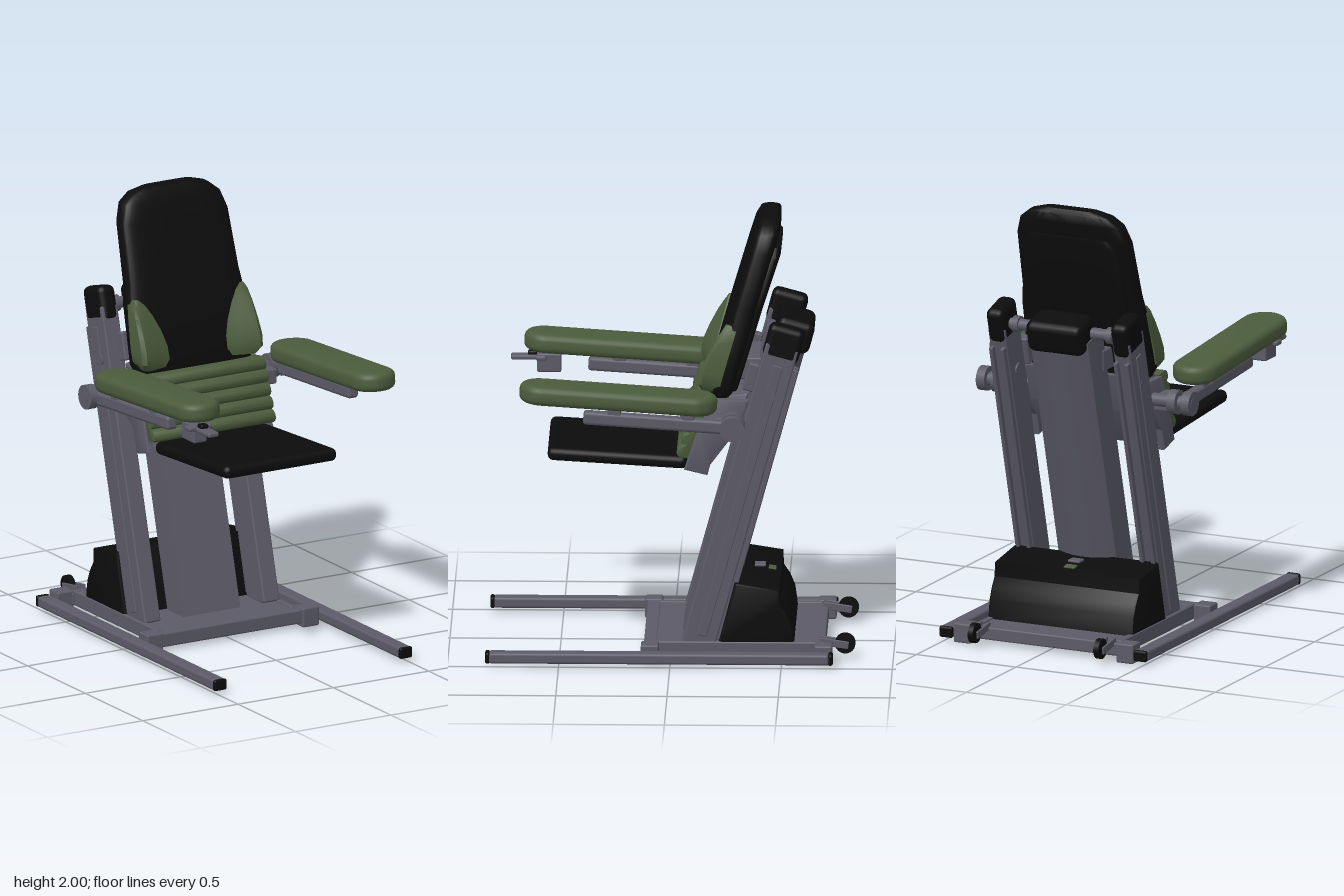
import * as THREE from 'three';
import { toCreasedNormals } from 'three/addons/utils/BufferGeometryUtils.js';
import { RoundedBoxGeometry } from 'three/addons/geometries/RoundedBoxGeometry.js';

const steel = new THREE.MeshStandardMaterial({ color: 0x5b5a67 });
steel.name = 'steelGrey';
const black = new THREE.MeshStandardMaterial({ color: 0x0c0c0c });
black.name = 'black';
const olive = new THREE.MeshStandardMaterial({ color: 0x4b5c3c });
olive.name = 'olive';

function add(parent, name, geo, mat, x = 0, y = 0, z = 0) {
  const m = new THREE.Mesh(geo, mat);
  m.name = name;
  m.position.set(x, y, z);
  parent.add(m);
  return m;
}

const box = (w, h, d, r = 0.008) => new RoundedBoxGeometry(w, h, d, 2, r);
const rodX = (r, len) => new THREE.CylinderGeometry(r, r, len, 24).rotateZ(Math.PI / 2);

// Skin over closed rings stacked upwards, with flat end caps
function loft(rings, crease = 0.7) {
  const n = rings[0].length, pos = rings.flat(2), idx = [];
  for (let i = 0; i < rings.length - 1; i++) {
    for (let j = 0; j < n; j++) {
      const a = i * n + j, b = i * n + (j + 1) % n;
      idx.push(a, b, a + n, b, b + n, a + n);
    }
  }
  const top = (rings.length - 1) * n;
  for (let j = 1; j < n - 1; j++) {
    idx.push(0, j + 1, j, top, top + j, top + j + 1);
  }
  const g = new THREE.BufferGeometry();
  g.setAttribute('position', new THREE.Float32BufferAttribute(pos, 3));
  g.setIndex(idx);
  return toCreasedNormals(g, crease);
}

// Side profile given as [z, y] points, extruded across x and centred on x = 0
function sideProfile(pts, width, bevel = 0.008) {
  const shape = new THREE.Shape(pts.map(p => new THREE.Vector2(p[0], p[1])));
  const depth = width - 2 * bevel;
  const g = new THREE.ExtrudeGeometry(shape, {
    depth, bevelEnabled: bevel > 0, bevelSize: bevel, bevelThickness: bevel, bevelOffset: -bevel, bevelSegments: 2,
  });
  g.translate(0, 0, -depth / 2).rotateY(-Math.PI / 2);
  return toCreasedNormals(g, 0.5);
}

// Rows of [y, halfWidth, zFront, zBack] become rounded-rectangle rings
function padRings(rows, n = 36) {
  const pw = v => Math.sign(v) * Math.pow(Math.abs(v), 0.45);
  return rows.map(([y, w, f, b]) => Array.from({ length: n }, (_, i) => {
    const t = (i / n) * Math.PI * 2;
    return [w * pw(Math.sin(t)), y, (f + b) / 2 + (f - b) / 2 * pw(Math.cos(t))];
  }));
}

export function createModel() {
  const root = new THREE.Group();
  root.name = 'liftChair';

  // Base frame
  const base = new THREE.Group();
  base.name = 'base';
  root.add(base);
  add(base, 'basePlate', box(0.72, 0.055, 0.8), steel, 0, 0.052, -0.285);
  add(base, 'frontCrossbar', box(0.76, 0.065, 0.06), steel, 0, 0.05, 0.09);
  add(base, 'rearCrossbar', box(0.76, 0.06, 0.05), steel, 0, 0.05, -0.67);
  for (const s of [-1, 1]) {
    add(base, 'sideRail', box(0.03, 0.07, 0.74), steel, s * 0.352, 0.053, -0.3);
    add(base, 'floorLeg', box(0.066, 0.05, 1.53, 0.012), steel, s * 0.487, 0.043, 0.05);
    for (const z of [0.819, -0.722]) add(base, 'legCap', box(0.066, 0.052, 0.022, 0.01), black, s * 0.487, 0.043, z);
    for (const z of [0.092, -0.688]) add(base, 'legClamp', box(0.085, 0.09, 0.08), steel, s * 0.408, 0.045, z);
    // Rear castor
    add(base, 'castorWheel', rodX(0.046, 0.025), black, s * 0.315, 0.072, -0.784);
    for (const dx of [-0.02, 0.02]) {
      const fork = add(base, 'castorFork', box(0.01, 0.035, 0.13, 0.004), steel, s * 0.315 + dx, 0.075, -0.735);
      fork.rotation.x = -0.15;
    }
  }

  // Motor cover behind the columns
  const coverPts = [[-0.215, 0.08], [-0.288, 0.36], [-0.49, 0.328], [-0.492, 0.262],
    [-0.52, 0.22], [-0.543, 0.165], [-0.555, 0.08]];
  add(root, 'motorCover', sideProfile(coverPts, 0.73, 0.012), black);
  add(root, 'coverButton', box(0.06, 0.012, 0.05, 0.004), steel, 0, 0.354, -0.395);
  const tag = add(root, 'coverTag', box(0.055, 0.008, 0.035, 0.003), olive, 0, 0.339, -0.45);
  tag.rotation.x = -0.16;

  // Leaning lift columns
  const lift = new THREE.Group();
  lift.name = 'liftColumns';
  lift.position.set(0, 0.085, -0.05);
  lift.rotation.x = -0.267;
  root.add(lift);
  const mastShape = new THREE.Shape();
  mastShape.moveTo(-0.145, 0);
  mastShape.lineTo(-0.145, 0.15);
  mastShape.quadraticCurveTo(0, 0.235, 0.145, 0.15);
  mastShape.lineTo(0.145, 0);
  const mast = new THREE.ExtrudeGeometry(mastShape, { depth: 1.42, bevelEnabled: false, curveSegments: 14 });
  add(lift, 'mast', toCreasedNormals(mast.rotateX(-Math.PI / 2), 0.5), steel);
  add(lift, 'mastCap', box(0.28, 0.15, 0.17, 0.035), black, 0, 1.445, -0.12);
  add(lift, 'topRod', rodX(0.026, 0.6), steel, 0, 1.44, -0.085);
  for (const s of [-1, 1]) {
    const x = s * 0.312;
    add(lift, 'sideColumn', box(0.085, 1.44, 0.15), steel, x, 0.72, -0.075);
    add(lift, 'columnCap', box(0.088, 0.165, 0.165, 0.03), black, x, 1.45, -0.078);
    for (const dx of [-0.028, 0.028]) add(lift, 'rearTrack', box(0.018, 1.3, 0.03, 0.004), steel, x + dx, 0.7, -0.16);
    add(lift, 'columnStrip', box(0.012, 1.3, 0.045, 0.004), steel, s * 0.355, 0.7, -0.08);
    add(lift, 'rodCollar', rodX(0.038, 0.03), steel, s * 0.235, 1.44, -0.085);
    add(lift, 'columnPivot', rodX(0.028, 0.1), steel, x, 1.2, -0.075);
    add(lift, 'guideBlock', box(0.05, 0.13, 0.05), steel, s * 0.27, 1.25, 0.02);
  }

  // Seat, carriage and lumbar pad
  const seat = add(root, 'seat', box(0.59, 0.06, 0.63, 0.027), black, 0, 0.914, 0.24);
  seat.rotation.x = -0.06;
  add(root, 'carriage', sideProfile([[-0.1, 0.88], [-0.165, 0.87], [-0.3, 1.05], [-0.35, 1.22], [-0.2, 1.2]], 0.56), steel);
  for (const s of [-1, 1]) {
    const plate = sideProfile([[-0.06, 0.875], [-0.165, 0.85], [-0.19, 0.95], [-0.3, 1.04],
      [-0.35, 1.2], [-0.19, 1.2], [-0.12, 1.06]], 0.035);
    add(root, 'seatBracket', plate, steel, s * 0.314);
  }
  const ribPts = [];
  const ribs = 5, steps = 8;
  for (let i = 0; i <= ribs * steps; i++) {
    const t = i / (ribs * steps);
    const bulge = 0.022 * Math.sqrt(Math.abs(Math.sin(t * ribs * Math.PI)));
    ribPts.push([-0.04 - 0.1 * t + bulge, 0.93 + 0.285 * t + bulge * 0.2]);
  }
  ribPts.push([-0.2, 1.205], [-0.1, 0.92]);
  add(root, 'lumbarPad', sideProfile(ribPts, 0.64, 0.006), olive);

  // Backrest
  const backRows = [[1.2, 0.29, -0.175, -0.275], [1.24, 0.312, -0.167, -0.29], [1.5, 0.302, -0.24, -0.365],
    [1.6, 0.288, -0.268, -0.39], [1.86, 0.277, -0.345, -0.465], [1.94, 0.25, -0.37, -0.488],
    [1.98, 0.2, -0.39, -0.488], [2.0, 0.13, -0.41, -0.472]];
  add(root, 'backrest', loft(padRings(backRows)), black);
  const shellRows = [[1.22, 0.25, -0.24, -0.3], [1.3, 0.26, -0.26, -0.325], [1.6, 0.25, -0.34, -0.415],
    [1.83, 0.235, -0.41, -0.49], [1.875, 0.2, -0.43, -0.495]];
  add(root, 'backShell', loft(padRings(shellRows)), black);
  add(root, 'backMount', box(0.3, 0.1, 0.12), steel, 0, 1.3, -0.36);

  // Side bolsters: rows of [y, inner x, outer x, front z, backrest z]
  const bolster = [[1.232, 0.175, 0.295, -0.14, -0.17], [1.265, 0.153, 0.316, -0.122, -0.173],
    [1.32, 0.155, 0.317, -0.13, -0.188], [1.39, 0.175, 0.312, -0.16, -0.208],
    [1.46, 0.208, 0.306, -0.197, -0.229], [1.51, 0.24, 0.3, -0.23, -0.243], [1.535, 0.268, 0.288, -0.252, -0.25]];
  for (const s of [-1, 1]) {
    const rings = bolster.map(([y, a, b, f, k]) => {
      const d = b - a;
      const ring = [[a, k + 0.004], [a + d * 0.35, k + 0.3 * (f - k) + 0.006], [a + d * 0.7, k + 0.8 * (f - k) + 0.004],
        [b - d * 0.12, f], [b, f - 0.015], [b, k - 0.05], [a, k - 0.03]].map(p => [s * p[0], y, p[1]]);
      return s > 0 ? ring : ring.reverse();
    });
    add(root, 'sideBolster', loft(rings), olive);
  }

  // Armrests with pivots
  const r = 0.075, half = 0.34;
  const plan = new THREE.Shape();
  plan.absarc(0, half, r, 0, Math.PI, false);
  plan.absarc(0, -half, r, Math.PI, Math.PI * 2, false);
  const padGeo = toCreasedNormals(new THREE.ExtrudeGeometry(plan, {
    depth: 0.03, bevelSize: 0.03, bevelThickness: 0.028, bevelSegments: 4, curveSegments: 16,
  }).translate(0, 0, -0.015).rotateX(Math.PI / 2), 0.6);
  for (const s of [-1, 1]) {
    const arm = new THREE.Group();
    arm.name = s > 0 ? 'leftArm' : 'rightArm';
    root.add(arm);
    add(arm, 'armPad', padGeo, olive, s * 0.46, 1.245, 0.232).rotation.x = -0.066;
    add(arm, 'armBar', box(0.055, 0.062, 0.66, 0.015), steel, s * 0.475, 1.135, 0.06).rotation.x = -0.066;
    for (const z of [0.25, -0.08]) add(arm, 'padSupport', box(0.05, 0.07, 0.06), steel, s * 0.475, 1.185 + z * 0.066, z);
    add(arm, 'pivotShaft', rodX(0.03, 0.25), steel, s * 0.41, 1.115, -0.28);
    for (const x of [0.442, 0.512]) add(arm, 'pivotDisc', rodX(0.056, 0.042), steel, s * x, 1.115, -0.28);
    add(arm, 'pivotArm', box(0.07, 0.07, 0.13), steel, s * 0.37, 1.1, -0.225);
  }

  // Hand control below the right arm
  add(root, 'controlBox', box(0.07, 0.085, 0.11), steel, -0.467, 1.165, 0.565);
  add(root, 'controlPlate', box(0.055, 0.022, 0.21), steel, -0.467, 1.188, 0.632);
  add(root, 'controlPaddle', box(0.12, 0.022, 0.05), steel, -0.467, 1.192, 0.6);
  add(root, 'controlKnob', box(0.04, 0.02, 0.04), black, -0.467, 1.207, 0.64);

  return root;
}
